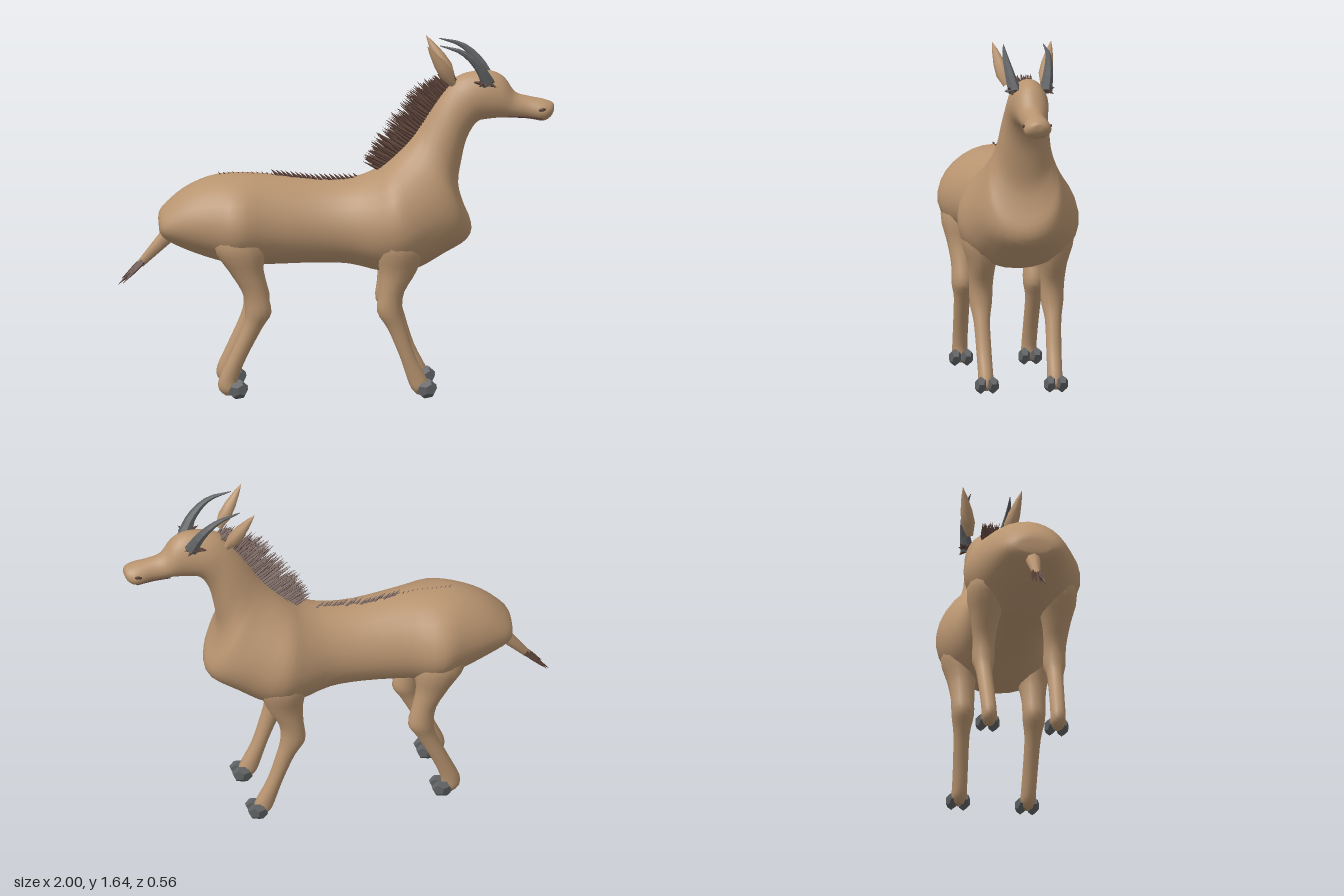
import * as THREE from 'three';
import { mergeGeometries } from 'three/addons/utils/BufferGeometryUtils.js';

const V = (x, y, z) => new THREE.Vector3(x, y, z);

// Small seeded generator for hair variation, returns -1..1
let seed = 7;
const vary = () => {
  seed = (seed * 16807) % 2147483647;
  return (seed / 2147483647) * 2 - 1;
};

// Smoothly resample rows of numbers (Catmull-Rom on each column)
function resample(rows, steps) {
  const out = [];
  for (let i = 0; i < rows.length - 1; i++) {
    const a = rows[Math.max(i - 1, 0)], b = rows[i], c = rows[i + 1];
    const d = rows[Math.min(i + 2, rows.length - 1)];
    for (let s = 0; s < steps; s++) {
      const t = s / steps;
      out.push(b.map((p, k) => p + 0.5 * t * (c[k] - a[k] +
        t * (2 * a[k] - 5 * p + 4 * c[k] - d[k] + t * (3 * (p - c[k]) + d[k] - a[k])))));
    }
  }
  out.push(rows[rows.length - 1]);
  return out;
}

// Skin over a list of rings (arrays of Vector3), closed at both ends
function loft(rings) {
  const n = rings[0].length, pos = [], idx = [];
  rings.forEach((r) => r.forEach((p) => pos.push(p.x, p.y, p.z)));
  for (let i = 0; i < rings.length - 1; i++) {
    for (let j = 0; j < n; j++) {
      const a = i * n + j, b = i * n + ((j + 1) % n);
      idx.push(a, b, a + n, b, b + n, a + n);
    }
  }
  [0, rings.length - 1].forEach((ri, end) => {
    const c = pos.length / 3;
    const m = rings[ri].reduce((s, p) => s.add(p), V(0, 0, 0)).divideScalar(n);
    pos.push(m.x, m.y, m.z);
    for (let j = 0; j < n; j++) {
      const a = ri * n + j, b = ri * n + ((j + 1) % n);
      if (end) idx.push(c, a, b);
      else idx.push(c, b, a);
    }
  });
  const g = new THREE.BufferGeometry();
  g.setAttribute('position', new THREE.Float32BufferAttribute(pos, 3));
  g.setIndex(idx);
  g.computeVertexNormals();
  return g;
}

const ring = (n, f) => Array.from({ length: n }, (_, j) => {
  const a = (j / n) * Math.PI * 2;
  return f(Math.cos(a), Math.sin(a));
});

function faceted(g) {
  const f = g.index ? g.toNonIndexed() : g;
  f.computeVertexNormals();
  return f;
}

// Turned shape standing on `from` and reaching to `to`; profile = [radius, 0..1]
function turned(from, to, profile, sides) {
  const dir = to.clone().sub(from), len = dir.length();
  const g = new THREE.LatheGeometry(profile.map(([r, t]) => new THREE.Vector2(r, t * len)), sides);
  g.applyQuaternion(new THREE.Quaternion().setFromUnitVectors(V(0, 1, 0), dir.normalize()));
  return g.translate(from.x, from.y, from.z);
}
const spike = (from, to, r) => faceted(turned(from, to, [[r, 0], [r * 0.8, 0.4], [0, 1]], 4));

// Torso, neck and head: top x, top y, bottom x, bottom y, half width
const BODY = [
  [-0.815, 0.82, -0.81, 0.76, 0.07], [-0.80, 0.87, -0.78, 0.725, 0.125],
  [-0.70, 0.96, -0.69, 0.68, 0.175], [-0.58, 1.015, -0.56, 0.635, 0.225],
  [-0.46, 1.03, -0.44, 0.61, 0.27], [-0.32, 1.025, -0.30, 0.61, 0.22],
  [-0.10, 1.0, -0.10, 0.615, 0.19], [0.06, 1.005, 0.06, 0.61, 0.20],
  [0.16, 1.035, 0.22, 0.575, 0.25], [0.22, 1.075, 0.36, 0.585, 0.28],
  [0.27, 1.12, 0.50, 0.66, 0.24], [0.32, 1.17, 0.60, 0.72, 0.20],
  [0.36, 1.22, 0.62, 0.79, 0.17], [0.39, 1.265, 0.585, 0.88, 0.145],
  [0.43, 1.33, 0.56, 0.98, 0.125], [0.47, 1.39, 0.575, 1.09, 0.113],
  [0.53, 1.46, 0.60, 1.19, 0.10], [0.60, 1.495, 0.645, 1.265, 0.095],
  [0.70, 1.505, 0.70, 1.28, 0.085], [0.77, 1.475, 0.76, 1.285, 0.075],
  [0.82, 1.405, 0.81, 1.285, 0.06], [0.88, 1.385, 0.88, 1.28, 0.053],
  [0.95, 1.37, 0.95, 1.27, 0.064], [0.99, 1.355, 0.985, 1.29, 0.045],
  [1.0, 1.34, 0.998, 1.315, 0.02],
];

// Legs: x, y, x radius, z centre, z radius
const FRONT_LEG = [
  [0.29, 0.87, 0.08, 0.16, 0.06], [0.29, 0.72, 0.11, 0.165, 0.095], [0.28, 0.60, 0.085, 0.165, 0.066],
  [0.25, 0.50, 0.058, 0.165, 0.055], [0.243, 0.41, 0.058, 0.165, 0.052], [0.277, 0.33, 0.043, 0.165, 0.038],
  [0.325, 0.20, 0.036, 0.162, 0.035], [0.367, 0.10, 0.045, 0.16, 0.035], [0.385, 0.05, 0.042, 0.16, 0.035],
  [0.39, 0.025, 0.022, 0.16, 0.02],
];
const HIND_LEG = [
  [-0.46, 0.87, 0.09, 0.15, 0.06], [-0.45, 0.72, 0.12, 0.16, 0.095], [-0.415, 0.60, 0.078, 0.165, 0.067],
  [-0.375, 0.50, 0.057, 0.165, 0.052], [-0.36, 0.41, 0.06, 0.165, 0.052], [-0.387, 0.34, 0.046, 0.165, 0.038],
  [-0.455, 0.20, 0.041, 0.162, 0.035], [-0.497, 0.10, 0.044, 0.16, 0.035], [-0.497, 0.05, 0.042, 0.16, 0.035],
  [-0.49, 0.025, 0.022, 0.16, 0.02],
];

export function createModel() {
  const model = new THREE.Group();
  const material = (name, color) => {
    const m = new THREE.MeshStandardMaterial({ color });
    m.name = name;
    return m;
  };
  const tan = material('tan coat', 0xb89470);
  const brown = material('dark brown hair', 0x5c433a);
  const grey = material('grey horn', 0x5e6062);
  const add = (name, geometry, mat) => {
    const mesh = new THREE.Mesh(geometry, mat);
    mesh.name = name;
    model.add(mesh);
  };

  add('body', loft(resample(BODY, 3).map(([tx, ty, bx, by, w]) => ring(28, (c, s) =>
    V((tx + bx + (tx - bx) * c) / 2, (ty + by + (ty - by) * c) / 2, w * s * (1 - 0.1 * c))))), tan);

  for (const side of [1, -1]) {
    const label = side > 0 ? 'Near' : 'Far';

    // Legs with cloven hooves
    [['frontLeg', FRONT_LEG, 0.412], ['hindLeg', HIND_LEG, -0.453]].forEach(([name, rows, hx]) => {
      add(name + label, loft(resample(rows, 3).map(([x, y, rx, z, rz]) =>
        ring(16, (c, s) => V(x + rx * c, y, side * z + rz * s)))), tan);
      const toes = [-1, 1].map((k) => new THREE.DodecahedronGeometry(1, 0)
        .scale(0.05, 0.041, 0.029).rotateZ(0.2).translate(hx, 0.051, side * 0.16 + k * 0.028));
      add(name + 'Hoof' + label, mergeGeometries(toes), grey);
    });

    // Ears
    add('ear' + label, turned(V(0.535, 1.455, side * 0.085), V(0.415, 1.645, side * 0.137),
      [[0.015, 0], [0.032, 0.25], [0.028, 0.5], [0.014, 0.8], [0, 1]], 8), tan);

    // Backswept horns
    const path = new THREE.CatmullRomCurve3([V(0.70, 1.45, side * 0.07), V(0.655, 1.535, side * 0.09),
      V(0.58, 1.605, side * 0.1), V(0.475, 1.637, side * 0.092)]);
    const rings = Array.from({ length: 9 }, (_, i) => {
      const p = path.getPoint(i / 8), t = path.getTangent(i / 8), r = 0.031 * (1 - i / 8) + 0.002;
      return ring(7, (c, s) => V(p.x - t.y * c * r, p.y + t.x * c * r, p.z + s * r));
    });
    add('horn' + label, faceted(loft(rings)), grey);

    // Hair tuft round the horn root
    const tuft = ring(9, (c, s) => spike(V(0.685 + c * 0.012, 1.458, side * 0.078 + s * 0.008),
      V(0.68 + c * 0.055, 1.46 + vary() * 0.02, side * 0.088 + s * 0.028), 0.012));
    add('hornTuft' + label, mergeGeometries(tuft), brown);

    // Mouth line and nostril
    const lip = new THREE.CatmullRomCurve3([V(0.79, 1.296, side * 0.039), V(0.87, 1.293, side * 0.04),
      V(0.95, 1.287, side * 0.049)]);
    add('mouthLine' + label, new THREE.TubeGeometry(lip, 8, 0.005, 5), brown);
    add('nostril' + label, new THREE.SphereGeometry(1, 8, 6).scale(0.018, 0.008, 0.005)
      .rotateZ(0.2).translate(0.945, 1.33, side * 0.063), brown);
  }

  // Upright mane along the neck crest
  const crest = new THREE.CatmullRomCurve3([V(0.2, 1.055, 0), V(0.27, 1.115, 0), V(0.36, 1.215, 0),
    V(0.43, 1.325, 0), V(0.47, 1.385, 0), V(0.54, 1.465, 0)]);
  const mane = [];
  for (let row = -2; row <= 2; row++) {
    for (let i = 0; i <= 44; i++) {
      const t = i / 44, p = crest.getPoint(t);
      const len = (0.055 + 0.09 * Math.sin(Math.PI * Math.min(1, t * 0.8 + 0.15))) * (1 + 0.15 * vary());
      const a = 2.65 - 0.35 * t + 0.12 * vary();
      const root = V(p.x + 0.015, p.y - 0.012, row * 0.013);
      mane.push(spike(root, V(root.x + Math.cos(a) * len, root.y + Math.sin(a) * len,
        row * 0.016 + vary() * 0.006), 0.009));
    }
  }
  add('mane', mergeGeometries(mane), brown);

  // Short bristles along the spine
  const bristles = [];
  for (let i = 0; i < 30; i++) {
    const x = 0.11 - i * 0.022, big = x > -0.27 ? 1 : 0.4;
    const y = x > -0.1 ? 1.0 : 1.0 + Math.min(0.027, (-0.1 - x) * 0.12);
    const z = vary() * 0.01 * big;
    bristles.push(spike(V(x, y - 0.006, z), V(x - 0.035 * big, y + 0.028 * big, z), 0.008 * big));
  }
  add('spineBristles', mergeGeometries(bristles), brown);

  // Tail and its tuft
  add('tail', turned(V(-0.75, 0.765, 0), V(-0.905, 0.60, 0), [[0.04, 0], [0.03, 0.4], [0.018, 0.95], [0, 1]], 8), tan);
  const strands = [[-1.0, 0.51, 0], [-0.985, 0.53, -0.035], [-0.98, 0.52, 0.03], [-0.965, 0.535, -0.015], [-0.97, 0.55, 0.015]]
    .map(([x, y, z]) => spike(V(-0.885, 0.622, z * 0.4), V(x, y, z), 0.015));
  add('tailTuft', mergeGeometries(strands), brown);

  return model;
}
